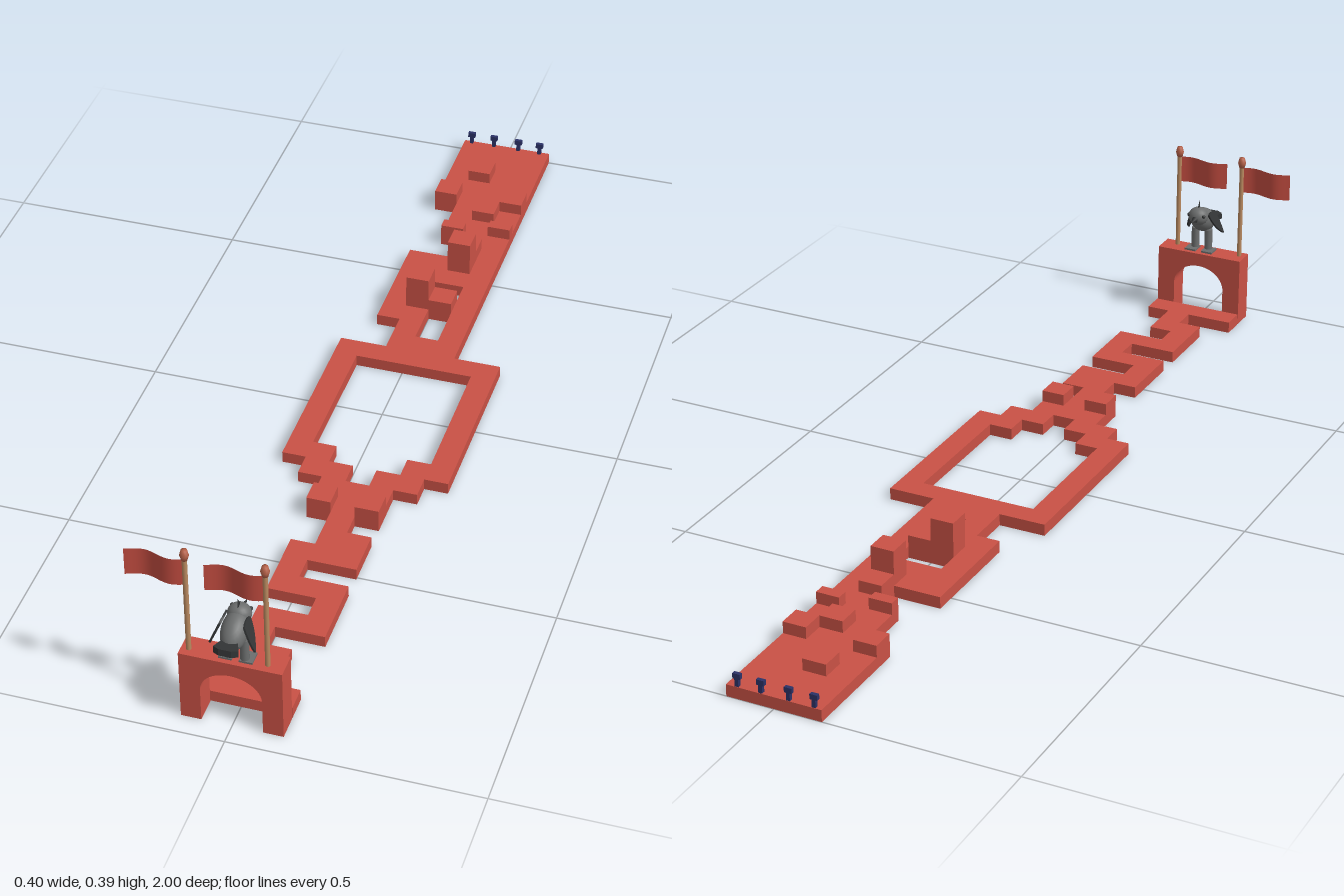
import * as THREE from 'three';

const mat = (name, color, side = THREE.FrontSide) => {
  const m = new THREE.MeshStandardMaterial({ color, side });
  m.name = name;
  return m;
};

export function createModel() {
  const red = mat('brick red', 0xc95145);
  const cloth = mat('flag red', 0xc24c40, THREE.DoubleSide);
  const wood = mat('pole wood', 0xba8a60);
  const copper = mat('finial copper', 0xb8634a);
  const grey = mat('bird grey', 0x6c6e6e);
  const dark = mat('dark feathers', 0x333536, THREE.DoubleSide);
  const navy = mat('navy', 0x2c3266);

  const root = new THREE.Group();
  root.name = 'obstacleCourse';
  const group = (name) => {
    const g = new THREE.Group();
    g.name = name;
    root.add(g);
    return g;
  };
  const add = (parent, name, geo, material, x = 0, y = 0, z = 0) => {
    const m = new THREE.Mesh(geo, material);
    m.name = name;
    m.position.set(x, y, z);
    parent.add(m);
    return m;
  };

  // Block on the course grid: cells of 0.05, given by x and z limits
  const U = 0.05;
  const block = (parent, name, [x0, x1, z0, z1], y0, y1) =>
    add(parent, name, new THREE.BoxGeometry((x1 - x0) * U, y1 - y0, (z1 - z0) * U), red,
      (x0 + x1) * U / 2, (y0 + y1) / 2, (z0 + z1) * U / 2 + 0.005);

  // Floor slabs from the back end to the gate
  const course = group('course');
  [
    [-2, 2, -20.1, -15], [-1, 2, -15, -12.5], [0, 2, -12.5, -11], [-2, 2, -11, -9],
    [-2, -1, -9, -6], [1, 2, -9, -5], [-1, 1, -8, -7], [-1, 0, -7, -5], [-1, 2, -5, -4],
    // ring
    [-3, 4, -4, -3], [-3, -2, -3, 4], [3, 4, -3, 4], [-2, -1, 3, 4], [2, 3, 3, 4],
    [-2, 0, 4, 5], [1, 3, 4, 5], [-1, 2, 5, 7],
    // winding path
    [0, 1, 7, 8], [0, 2, 8, 9], [-1, 2, 9, 10], [-1, 0, 10, 11], [-1, 2, 11, 12], [1, 2, 12, 13],
    [-1, 2, 13, 14], [-1, 0, 14, 15], [-1, 1, 15, 16], [0, 1, 16, 17], [-2, 2, 17, 18],
  ].forEach((s) => block(course, 'floorSlab', s, 0, 0.025));

  // Raised obstacles
  const obstacles = group('obstacles');
  [
    [-1, 0, -18, -17], [-2, -1, -16, -15], [1, 2, -16, -15], [0, 1, -15, -14],
    [1, 2, -13.5, -13], [-1, 0, -13, -12.5], [0, 1, -12, -11], [0, 1, -8, -7],
    [-1, 0, 6, 7], [1, 2, 6, 7],
  ].forEach((s) => block(obstacles, 'lowBlock', s, 0.025, 0.05));
  [[0, 1, -11, -10], [-1, 0, -8, -7]].forEach((s) => block(obstacles, 'tallBlock', s, 0.025, 0.1));

  // Gate with arched opening
  const arch = new THREE.Shape();
  arch.moveTo(-0.1, 0);
  arch.lineTo(-0.06, 0);
  arch.lineTo(-0.06, 0.075);
  arch.absellipse(0, 0.075, 0.06, 0.05, Math.PI, 0, true);
  arch.lineTo(0.06, 0);
  arch.lineTo(0.1, 0);
  arch.lineTo(0.1, 0.155);
  arch.lineTo(-0.1, 0.155);
  const gate = group('gate');
  add(gate, 'archway', new THREE.ExtrudeGeometry(arch,
    { depth: 0.05, bevelEnabled: false, curveSegments: 20 }), red, 0, 0, 0.907);

  // Flags on poles, both waving toward -x
  for (const x of [-0.085, 0.067]) {
    const flag = group('flag');
    flag.position.set(x, 0, 0.939);
    add(flag, 'pole', new THREE.CylinderGeometry(0.005, 0.005, 0.217, 12), wood, 0, 0.2625);
    const knob = [[0, 0], [0.006, 0], [0.009, 0.011], [0.006, 0.023], [0, 0.023]]
      .map(([r, y]) => new THREE.Vector2(r, y));
    add(flag, 'finial', new THREE.LatheGeometry(knob, 10), copper, 0, 0.37);
    const sheet = new THREE.PlaneGeometry(0.113, 0.06, 20, 1);
    const p = sheet.attributes.position;
    for (let i = 0; i < p.count; i++) {
      const t = 0.5 - p.getX(i) / 0.113;
      p.setZ(i, 0.006 * Math.sin(t * Math.PI * 2.2));
    }
    sheet.computeVertexNormals();
    add(flag, 'flagCloth', sheet, cloth, -0.0585, 0.34);
  }

  // Bird on the gate, looking down the course toward -z
  const bird = group('bird');
  bird.position.set(0.007, 0, 0);
  const ball = new THREE.SphereGeometry(1, 20, 14);
  const body = add(bird, 'body', ball, grey, 0, 0.227, 0.941);
  body.scale.set(0.026, 0.027, 0.042);
  body.rotation.x = 0.5;
  const head = add(bird, 'head', ball, grey, 0, 0.245, 0.914);
  head.scale.set(0.023, 0.021, 0.021);
  const beak = add(bird, 'beak', new THREE.ConeGeometry(0.009, 0.026, 10), dark, 0, 0.243, 0.887);
  beak.rotation.x = -Math.PI / 2;
  const crest = add(bird, 'crest', new THREE.ConeGeometry(0.009, 0.028, 8), dark, 0, 0.271, 0.918);
  crest.scale.x = 0.2;
  crest.rotation.x = 0.25;

  // Fanned tail
  const fan = new THREE.Shape();
  fan.moveTo(-0.011, 0);
  fan.lineTo(0.011, 0);
  fan.lineTo(0.024, 0.036);
  fan.lineTo(0.012, 0.042);
  fan.lineTo(-0.012, 0.042);
  fan.lineTo(-0.024, 0.036);
  const tail = add(bird, 'tail', new THREE.ExtrudeGeometry(fan,
    { depth: 0.014, bevelEnabled: false }), dark, 0, 0.208, 0.957);
  tail.rotation.x = Math.PI / 2 - 0.12;
  tail.position.y = 0.223;

  for (const s of [-1, 1]) {
    // Wing as a thin pointed blade hanging outward
    const blade = new THREE.Shape();
    blade.moveTo(-0.02, 0.004);
    blade.quadraticCurveTo(0, 0.012, 0.014, 0);
    blade.quadraticCurveTo(0.022, -0.03, 0.018, -0.052);
    blade.quadraticCurveTo(-0.012, -0.032, -0.02, 0.004);
    const wing = add(bird, 'wing', new THREE.ExtrudeGeometry(blade,
      { depth: 0.004, bevelEnabled: false }), dark, s * 0.023, 0.244, 0.937);
    wing.rotation.set(0, -Math.PI / 2, s * 0.4, 'ZYX');
    // Eye, leg and foot
    add(bird, 'eye', new THREE.SphereGeometry(0.004, 10, 8), dark, s * 0.018, 0.25, 0.902);
    add(bird, 'leg', new THREE.CylinderGeometry(0.009, 0.009, 0.047, 12), grey, s * 0.016, 0.183, 0.938);
    add(bird, 'foot', new THREE.BoxGeometry(0.026, 0.004, 0.03), grey, s * 0.02, 0.157, 0.932);
  }

  // Small markers along the back edge
  const markers = group('markers');
  for (const x of [-0.083, -0.03, 0.028, 0.078]) {
    add(markers, 'markerPost', new THREE.BoxGeometry(0.008, 0.016, 0.008), navy, x, 0.033, -0.995);
    add(markers, 'markerHead', new THREE.BoxGeometry(0.016, 0.011, 0.008), navy, x, 0.0465, -0.995);
  }
  return root;
}
